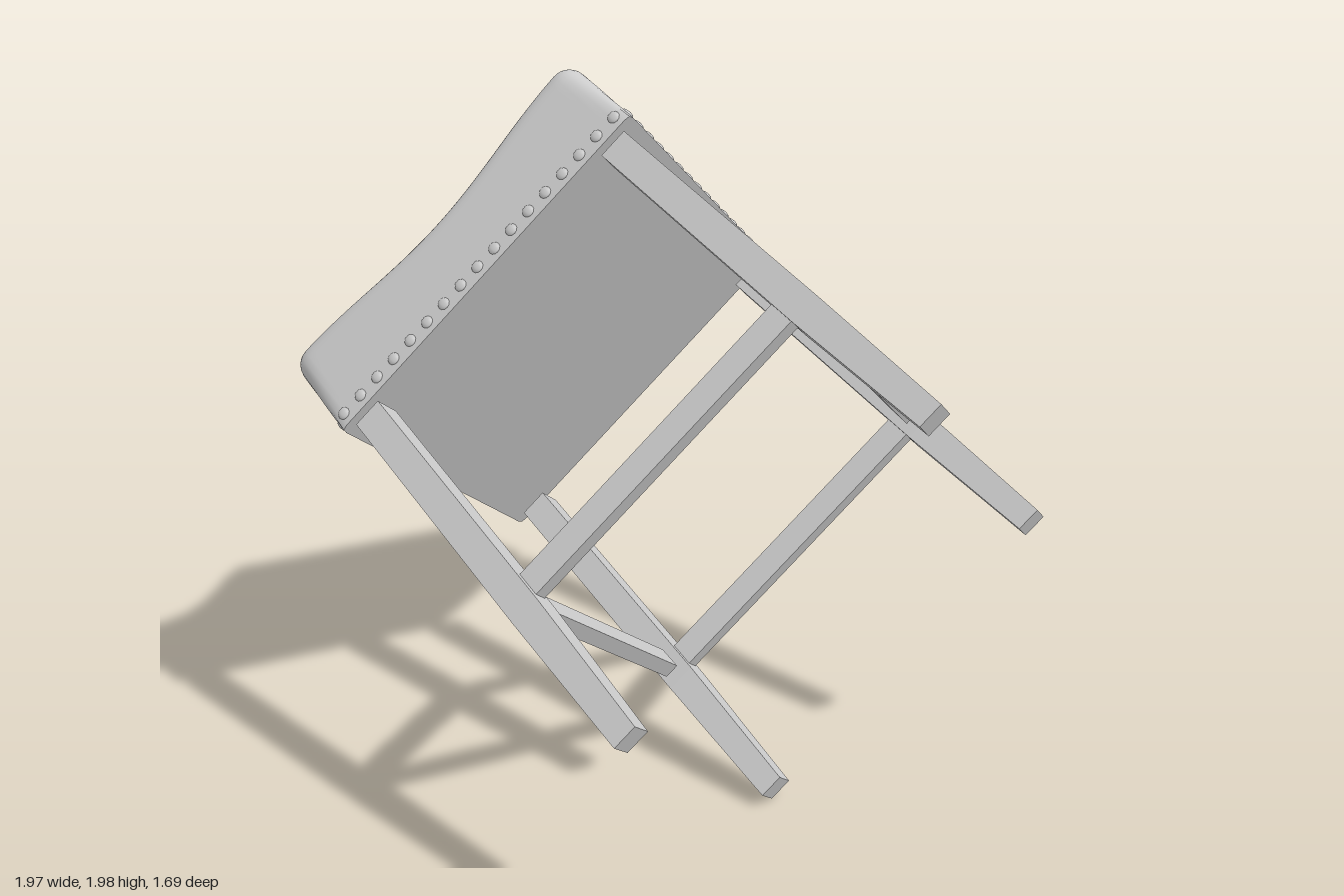
import * as THREE from 'three';
import { mergeVertices, toCreasedNormals } from 'three/addons/utils/BufferGeometryUtils.js';

const material = new THREE.MeshStandardMaterial({ color: 0xcccccc });
const HALF_W = 0.58, HALF_D = 0.497, SEAT_H = 0.32, ROUND = 0.06;

function addMesh(parent, geometry, name) {
  const mesh = new THREE.Mesh(geometry, material);
  mesh.name = name;
  parent.add(mesh);
  return mesh;
}

// Move every vertex of a geometry by a rule
function reshape(geometry, rule) {
  const pos = geometry.attributes.position, p = new THREE.Vector3();
  for (let i = 0; i < pos.count; i++) {
    p.fromBufferAttribute(pos, i);
    rule(p);
    pos.setXYZ(i, p.x, p.y, p.z);
  }
  return geometry;
}

// Saddle cushion: crisp at the bottom, rounder towards the top rim, shallow dip across the middle
function cushionGeometry() {
  const box = new THREE.BoxGeometry(HALF_W * 2, SEAT_H, HALF_D * 2, 56, 18, 48);
  box.translate(0, SEAT_H / 2, 0);
  const core = new THREE.Vector3();
  reshape(box, (p) => {
    const r = THREE.MathUtils.lerp(0.015, ROUND, Math.min(1, p.y / (SEAT_H - ROUND)));
    core.set(
      THREE.MathUtils.clamp(p.x, r - HALF_W, HALF_W - r),
      Math.min(p.y, SEAT_H - ROUND),
      THREE.MathUtils.clamp(p.z, r - HALF_D, HALF_D - r));
    p.sub(core);
    const len = p.length();
    if (len > r) p.multiplyScalar(r / len);
    p.add(core);
    const dip = 0.05 * (0.5 + 0.5 * Math.cos(Math.PI * Math.min(1, Math.abs(p.x) / 0.54)));
    p.y *= (SEAT_H - dip) / SEAT_H;
  });
  box.deleteAttribute('uv');
  box.deleteAttribute('normal');
  return toCreasedNormals(mergeVertices(box, 1e-5), 0.7);
}

// Leg: splays slightly down to the knee, then tapers to a smaller foot
function legGeometry(sections) {
  const geo = reshape(new THREE.BoxGeometry(1, 1, 1, 1, 2, 1), (p) => {
    const s = sections[Math.round((0.5 - p.y) * 2)];
    p.set(s.x + p.x * s.size, s.y, s.z + p.z * s.size);
  }).toNonIndexed();
  geo.computeVertexNormals();
  return geo;
}

export function createModel() {
  const model = new THREE.Group();
  model.name = 'stool';
  const stool = new THREE.Group();
  stool.name = 'tippedStool';
  model.add(stool);

  addMesh(stool, cushionGeometry(), 'cushion');

  // Upholstery nails, half sunk around the lower edge
  const nails = new THREE.Group();
  nails.name = 'nails';
  stool.add(nails);
  const nailGeo = new THREE.SphereGeometry(0.018, 10, 6);
  const nailRow = (count, half, place) => {
    for (let i = 0; i < count; i++) {
      const t = (i / (count - 1) * 2 - 1) * (half - 0.035);
      for (const side of [-1, 1]) place(addMesh(nails, nailGeo, 'nail'), t, side);
    }
  };
  nailRow(17, HALF_W, (nail, t, side) => {
    nail.position.set(t, 0.035, side * HALF_D);
    nail.scale.z = 0.4;
  });
  nailRow(15, HALF_D, (nail, t, side) => {
    nail.position.set(side * HALF_W, 0.035, t);
    nail.scale.x = 0.4;
  });

  // Four legs
  for (const sx of [-1, 1]) for (const sz of [-1, 1]) {
    addMesh(stool, legGeometry([
      { x: sx * 0.492, y: -0.03, z: sz * 0.462, size: 0.088 },
      { x: sx * 0.508, y: -0.82, z: sz * 0.465, size: 0.088 },
      { x: sx * 0.52, y: -1.25, z: sz * 0.467, size: 0.072 },
    ]), 'leg');
  }

  // Stretchers between the legs
  for (const side of [-1, 1]) {
    addMesh(stool, new THREE.BoxGeometry(0.95, 0.075, 0.045), 'longStretcher')
      .position.set(0, -0.76, side * 0.465);
    addMesh(stool, new THREE.BoxGeometry(0.045, 0.07, 0.8), 'shortStretcher')
      .position.set(side * 0.51, -0.76, 0);
  }

  // Tip the whole stool over
  const up = new THREE.Vector3(-0.896, 0.408, -0.182).normalize();
  const across = new THREE.Vector3(0.437, 0.714, -0.549);
  across.addScaledVector(up, -across.dot(up)).normalize();
  const depth = new THREE.Vector3().crossVectors(across, up);
  stool.quaternion.setFromRotationMatrix(new THREE.Matrix4().makeBasis(across, up, depth));

  // Stand it on the ground and centre it
  model.updateMatrixWorld(true);
  const bounds = new THREE.Box3().setFromObject(model, true);
  const centre = bounds.getCenter(new THREE.Vector3());
  stool.position.set(-centre.x, -bounds.min.y, -centre.z);
  return model;
}
